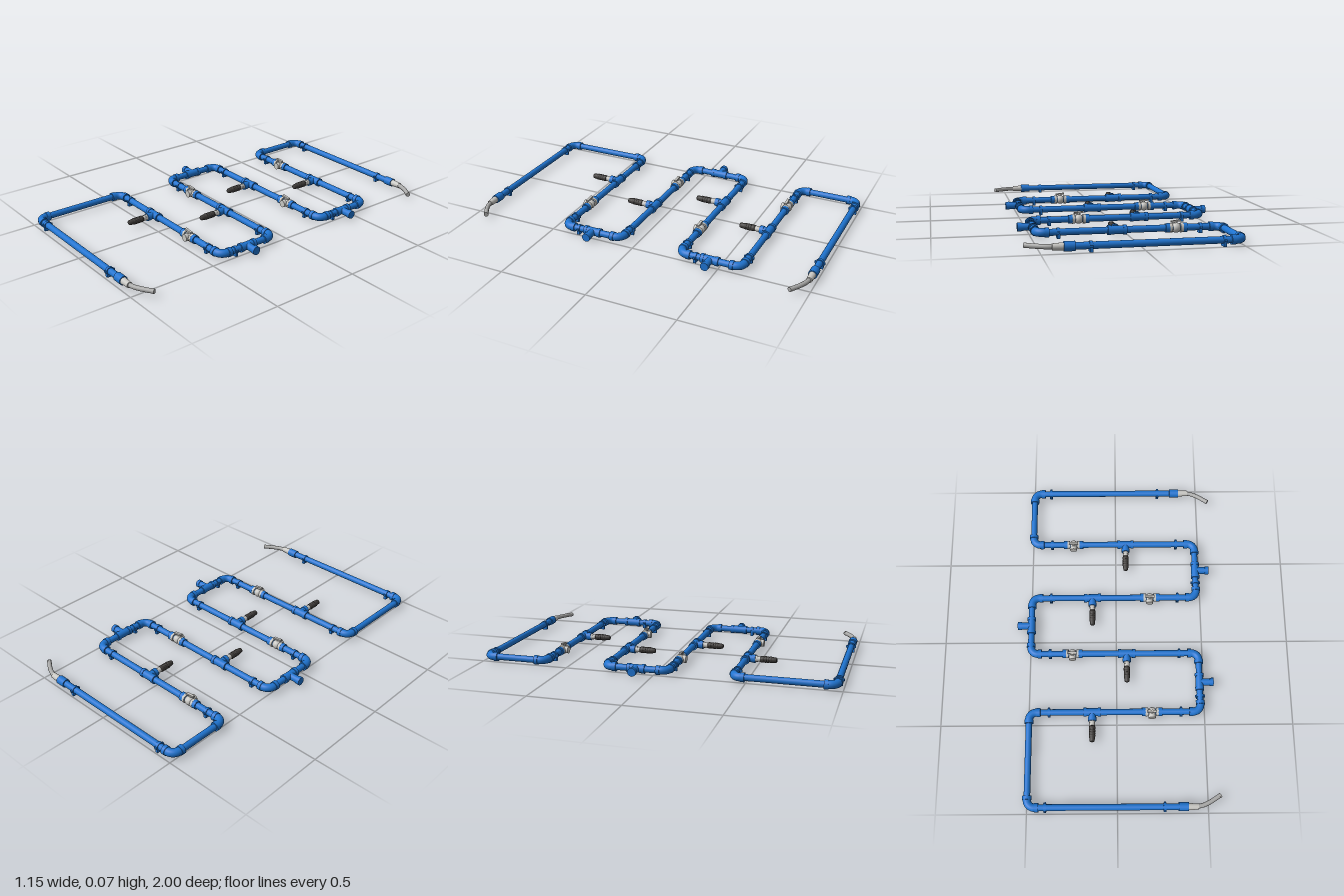
import * as THREE from 'three';

const mat = (name, color) => Object.assign(new THREE.MeshStandardMaterial({ color }), { name });

export function createModel() {
  const blue = mat('blue plastic', 0x1f74d0);
  const silver = mat('light grey metal', 0xc9c8c4);
  const braid = mat('braided grey hose', 0xa9a9a8);
  const dark = mat('dark grip', 0x3d3a38);

  const model = new THREE.Group();
  model.name = 'pipeManifold';
  const Y = 0.031, PIPE = 0.018, FIT = 0.0225, COLLAR = 0.0255;
  const LEFT = -0.497, RIGHT = 0.476;
  const rows = [-0.973, -0.622, -0.271, 0.08, 0.431, 0.968];
  const UP = new THREE.Vector3(0, 1, 0);
  const P = (x, z, y = Y) => new THREE.Vector3(x, y, z);

  const add = (parent, name, geo, material) => {
    const m = new THREE.Mesh(geo, material);
    m.name = name;
    parent.add(m);
    return m;
  };
  // Round bar from a to b, r1 at a and r2 at b
  const bar = (parent, name, a, b, r1, material, r2 = r1, sides = 20) => {
    const d = b.clone().sub(a);
    const m = add(parent, name, new THREE.CylinderGeometry(r2, r1, d.length(), sides), material);
    m.position.copy(a).add(b).multiplyScalar(0.5);
    m.quaternion.setFromUnitVectors(UP, d.normalize());
    return m;
  };
  const group = (name, x = 0, z = 0, turn = 0) => {
    const g = new THREE.Group();
    g.name = name;
    g.position.set(x, Y, z);
    g.rotation.y = turn;
    model.add(g);
    return g;
  };
  const L = (x, y = 0, z = 0) => new THREE.Vector3(x, y, z);

  // Straight pipes
  rows.forEach((z, i) => {
    const outer = i === 0 || i === 5;
    bar(model, 'rowPipe', P(LEFT + 0.04, z), P(outer ? 0.38 : RIGHT - 0.04, z), PIPE, blue);
  });
  const columns = [[LEFT, 0, 1], [RIGHT, 1, 2], [LEFT, 2, 3], [RIGHT, 3, 4], [LEFT, 4, 5]];
  columns.forEach(([x, a, b]) =>
    bar(model, 'columnPipe', P(x, rows[a] + 0.04), P(x, rows[b] - 0.04), PIPE, blue));

  // Elbow with a socket collar on each arm
  const elbow = (x, z, dx, dz) => {
    const g = group('elbow', x, z);
    const R = 0.042, k = R * 0.448;
    const curve = new THREE.CubicBezierCurve3(L(dx * R), L(dx * k), L(0, 0, dz * k), L(0, 0, dz * R));
    add(g, 'elbowBend', new THREE.TubeGeometry(curve, 12, FIT, 18), blue);
    bar(g, 'elbowCollar', L(dx * R), L(dx * 0.064), COLLAR, blue);
    bar(g, 'elbowCollar', L(0, 0, dz * R), L(0, 0, dz * 0.064), COLLAR, blue);
  };
  columns.forEach(([x, a, b]) => {
    const dx = x === LEFT ? 1 : -1;
    elbow(x, rows[a], dx, 1);
    elbow(x, rows[b], dx, -1);
  });

  // Tee: run along local x, branch along local +z
  const tee = (x, z, turn, branch) => {
    const g = group('tee', x, z, turn);
    bar(g, 'teeRun', L(-0.045), L(0.045), FIT, blue);
    for (const s of [-1, 1]) bar(g, 'teeCollar', L(s * 0.032), L(s * 0.05), COLLAR, blue);
    bar(g, 'teeBranch', L(0), L(0, 0, branch), FIT - 0.002, blue);
    bar(g, 'branchCollar', L(0, 0, branch - 0.022), L(0, 0, branch), FIT + 0.001, blue);
    return g;
  };
  // Capped side stubs in the middle of the short columns
  columns.slice(1, 4).forEach(([x, a, b]) =>
    tee(x, (rows[a] + rows[b]) / 2, x === LEFT ? -Math.PI / 2 : Math.PI / 2, 0.08));

  // Nozzle tees: grey nipple and ribbed dark grip
  const grip = [[0, 0.08], [0.016, 0.08], [0.018, 0.085]];
  for (let i = 0; i < 4; i++) {
    const y = 0.09 + i * 0.014;
    grip.push([0.0185, y], [0.0185, y + 0.009], [0.0165, y + 0.01], [0.0165, y + 0.013]);
  }
  grip.push([0.016, 0.15], [0.014, 0.168], [0.01, 0.172], [0, 0.172]);
  const gripGeo = new THREE.LatheGeometry(grip.map(p => new THREE.Vector2(...p)), 18);
  gripGeo.rotateX(Math.PI / 2);
  const nozzleX = [0, 0.06, -0.14, 0.06, -0.14];
  for (let i = 1; i < 5; i++) {
    const g = tee(nozzleX[i], rows[i], 0, 0.052);
    bar(g, 'nozzleNut', L(0, 0, 0.05), L(0, 0, 0.064), 0.019, silver, 0.019, 6);
    bar(g, 'nozzleNipple', L(0, 0, 0.06), L(0, 0, 0.088), 0.0155, silver);
    add(g, 'nozzleGrip', gripGeo, dark);
  }

  // Shut-off valve with a front cap and a wing handle on top
  const valve = (x, z) => {
    const g = group('valve', x, z);
    for (const s of [-1, 1]) {
      bar(g, 'valveSocket', L(s * 0.036), L(s * 0.058), COLLAR - 0.001, blue);
      bar(g, 'valveNut', L(s * 0.022), L(s * 0.037), 0.026, silver, 0.026, 8);
    }
    add(g, 'valveBody', new THREE.SphereGeometry(0.0265, 20, 14), silver);
    bar(g, 'valveCap', L(0, 0, 0), L(0, 0, 0.036), 0.021, silver);
    bar(g, 'valveStem', L(0, 0.015, 0.006), L(0, 0.034, 0.006), 0.009, silver);
    const wing = add(g, 'valveHandle', new THREE.BoxGeometry(0.052, 0.009, 0.014), silver);
    wing.position.set(0, 0.034, 0.006);
    wing.rotation.z = -0.12;
  };
  const valveX = [0, -0.255, 0.2, -0.255, 0.2];
  for (let i = 1; i < 5; i++) valve(valveX[i], rows[i]);

  // Pipe clips standing on the floor
  const clip = (x, z, turn = 0) => {
    const g = group('pipeClip', x, z, turn);
    bar(g, 'clipRing', L(-0.008), L(0.008), 0.0225, blue);
    add(g, 'clipFoot', new THREE.BoxGeometry(0.016, 0.031, 0.04), blue).position.y = -0.0155;
    add(g, 'clipLug', new THREE.BoxGeometry(0.012, 0.012, 0.056), blue);
  };
  rows.forEach((z, i) => {
    const xs = i === 0 || i === 5 ? [-0.398, 0.26] : [-0.385, 0.365];
    xs.forEach(x => clip(x, z));
  });
  clip(RIGHT, -0.365, Math.PI / 2);
  clip(RIGHT, 0.34, Math.PI / 2);

  // Couplings and flexible hoses on the two open ends, bending inward
  [[rows[0], 1], [rows[5], -1]].forEach(([z, s]) => {
    const g = group('hoseEnd', 0, z);
    bar(g, 'hoseCoupling', L(0.335), L(0.39), COLLAR - 0.001, blue);
    bar(g, 'hoseFerrule', L(0.388), L(0.445), 0.0195, silver, 0.016);
    const curve = new THREE.CatmullRomCurve3([
      L(0.43), L(0.465, 0, s * 0.006), L(0.505, 0, s * 0.023), L(0.568, 0, s * 0.062)]);
    add(g, 'flexibleHose', new THREE.TubeGeometry(curve, 24, 0.0125, 14), braid);
    const end = curve.getPoint(1), dir = curve.getTangent(1);
    bar(g, 'hoseTip', end.clone().addScaledVector(dir, -0.01), end.clone().addScaledVector(dir, 0.001), 0.013, braid);
  });

  return model;
}
